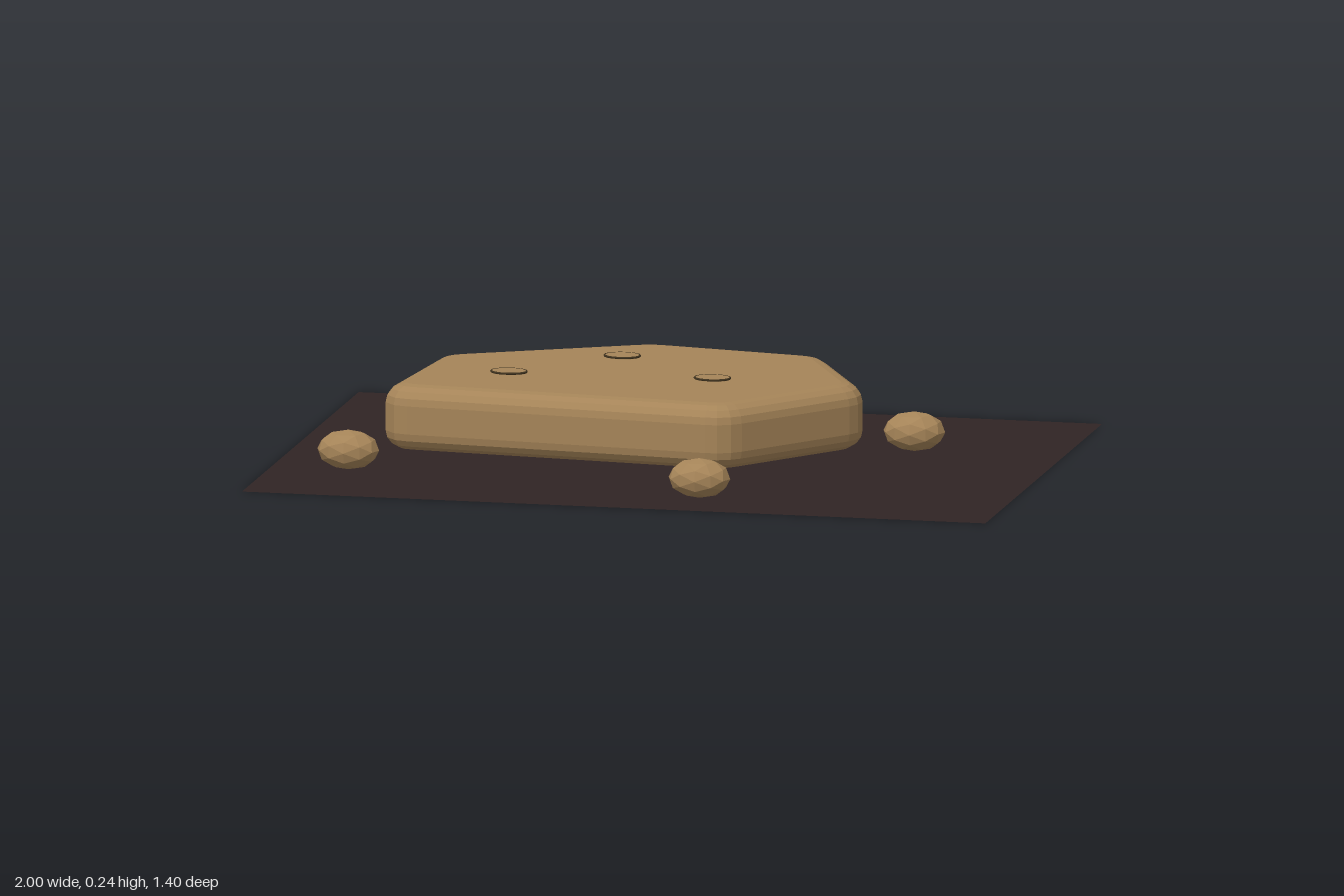
import * as THREE from 'three';

const ground = new THREE.MeshStandardMaterial({ name: 'dark earth', color: 0x302424, side: THREE.DoubleSide });
const stone = new THREE.MeshStandardMaterial({ name: 'sandstone', color: 0xa58458, flatShading: true });
const dark = new THREE.MeshStandardMaterial({ name: 'dark rim', color: 0x40331f });

// Insets a convex outline by d and softens each corner with a short curve
function slabShape(corners, d, soft) {
  const pts = corners.map(([x, z]) => new THREE.Vector2(x, -z));
  const n = pts.length;
  const inner = pts.map((p, i) => {
    const e1 = p.clone().sub(pts[(i + n - 1) % n]).normalize();
    const e2 = pts[(i + 1) % n].clone().sub(p).normalize();
    return e2.clone().sub(e1).multiplyScalar(d / Math.abs(e1.cross(e2))).add(p);
  });
  const toward = (a, b) => b.clone().sub(a).setLength(soft).add(a);
  const shape = new THREE.Shape();
  inner.forEach((p, i) => {
    const a = toward(p, inner[(i + n - 1) % n]);
    const b = toward(p, inner[(i + 1) % n]);
    if (i === 0) shape.moveTo(a.x, a.y);
    else shape.lineTo(a.x, a.y);
    shape.quadraticCurveTo(p.x, p.y, b.x, b.y);
  });
  shape.closePath();
  return shape;
}

export function createModel() {
  const model = new THREE.Group();
  model.name = 'steppingStone';
  const add = (name, geometry, material, x, y, z) => {
    const mesh = new THREE.Mesh(geometry, material);
    mesh.name = name;
    mesh.position.set(x, y, z);
    model.add(mesh);
    return mesh;
  };

  // Ground sheet
  add('ground', new THREE.PlaneGeometry(2, 1.4).rotateX(-Math.PI / 2), ground, 0, 0, 0);

  // Six-sided slab with rounded edges
  const corners = [[-0.705, 0.385], [0.25, 0.475], [0.545, 0.09],
    [0.345, -0.31], [-0.14, -0.387], [-0.655, -0.115]];
  const slab = new THREE.ExtrudeGeometry(slabShape(corners, 0.055, 0.03), {
    depth: 0.075, bevelSize: 0.055, bevelThickness: 0.05, bevelSegments: 4, curveSegments: 3,
  }).rotateX(-Math.PI / 2);
  add('slab', slab, stone, 0, 0.11, 0);

  // Shallow studs on the slab, each with a fine dark rim
  const stud = new THREE.CylinderGeometry(0.046, 0.046, 0.006, 24).scale(1, 1, 0.75);
  const rim = new THREE.TorusGeometry(0.047, 0.003, 6, 32).rotateX(Math.PI / 2).scale(1, 1, 0.76);
  for (const [x, z] of [[-0.165, -0.14], [0.133, 0.108], [-0.408, 0.136]]) {
    add('stud', stud, stone, x, 0.239, z);
    add('studRim', rim, dark, x, 0.24, z);
  }

  // Faceted pebbles around the slab
  const pebble = new THREE.IcosahedronGeometry(1, 1).scale(0.083, 0.053, 0.063);
  for (const [x, z] of [[-0.78, 0.405], [0.205, 0.585], [0.615, -0.165]]) {
    add('pebble', pebble, stone, x, 0.066, z);
  }
  return model;
}
